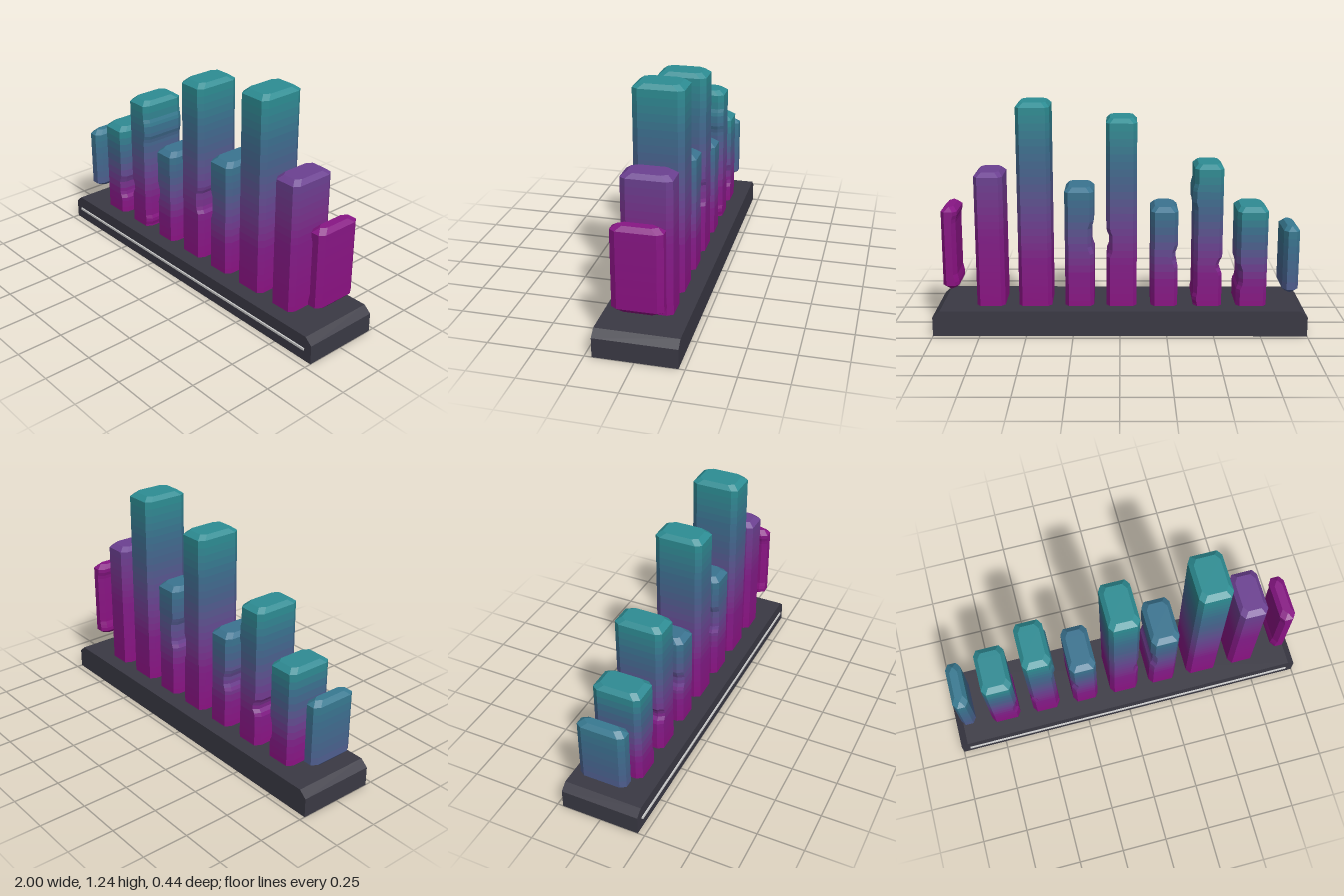
import * as THREE from 'three';

const DEPTH = 0.13; // half depth of every bar
const STOPS = [[0, 0x8c1082], [0.25, 0x821c88], [0.45, 0x6a4292], [0.67, 0x48628e], [0.8, 0x3c7090], [1, 0x2b9094]];

// Colour of the magenta-to-teal ramp at t
function ramp(t) {
  let i = 1;
  while (i < STOPS.length - 1 && t > STOPS[i][0]) i++;
  const [t0, c0] = STOPS[i - 1], [t1, c1] = STOPS[i];
  return new THREE.Color(c0).lerp(new THREE.Color(c1), THREE.MathUtils.clamp((t - t0) / (t1 - t0), 0, 1));
}

// Sideways offset of a worn patch: flat in the middle, sloped at both ends
function wear(y, patches) {
  let d = 0;
  for (const [y0, y1, depth] of patches) {
    const slope = Math.min(0.03, (y1 - y0) / 2);
    d += depth * THREE.MathUtils.clamp(Math.min(y - y0, y1 - y) / slope, 0, 1);
  }
  return d;
}

// Octagonal cross-section, shrunk by an inset at the chamfered ends
function ring(bar, y, inset) {
  const x0 = bar.x0 + wear(y, bar.left) + inset * 0.7;
  const x1 = bar.x1 - wear(y, bar.right) - inset * 0.7;
  const z = DEPTH - inset, cx = 0.02, cz = 0.03;
  return [
    [x1, -z + cz], [x1, z - cz], [x1 - cx, z], [x0 + cx, z],
    [x0, z - cz], [x0, -z + cz], [x0 + cx, -z], [x1 - cx, -z],
  ].map(([x, zz]) => new THREE.Vector3(x, y, zz));
}

// Wall through a stack of rings, with optional end caps
function loft(rings, capBottom, capTop) {
  const pts = [];
  for (let r = 0; r < rings.length - 1; r++) {
    const lo = rings[r], hi = rings[r + 1];
    for (let i = 0; i < 8; i++) {
      const j = (i + 1) % 8;
      pts.push(lo[i], hi[i], hi[j], lo[i], hi[j], lo[j]);
    }
  }
  const first = rings[0], last = rings[rings.length - 1];
  for (let i = 1; i < 7; i++) {
    if (capBottom) pts.push(first[0], first[i], first[i + 1]);
    if (capTop) pts.push(last[0], last[i + 1], last[i]);
  }
  const geo = new THREE.BufferGeometry().setFromPoints(pts);
  geo.computeVertexNormals();
  return geo;
}

// One bar, cut into bands that step through its colour range
function makeBar(bar) {
  const group = new THREE.Group();
  group.name = bar.name;
  const bevel = 0.023;
  const low = bar.floating ? bar.y0 + bevel : bar.y0, high = bar.y1 - bevel;
  const bands = Math.max(8, Math.round((high - low) / 0.04));
  for (let b = 0; b < bands; b++) {
    const rings = [];
    for (let k = 0; k <= 2; k++) rings.push(ring(bar, low + (high - low) * (b + k / 2) / bands, 0));
    const isFirst = b === 0, isLast = b === bands - 1;
    if (isFirst && bar.floating) rings.unshift(ring(bar, bar.y0, 0.03));
    if (isLast) rings.push(ring(bar, bar.y1, 0.03));
    const t = THREE.MathUtils.lerp(bar.t0, bar.t1, (b + 0.5) / bands);
    const material = new THREE.MeshStandardMaterial({ color: ramp(t), flatShading: true });
    const mesh = new THREE.Mesh(loft(rings, isFirst, isLast), material);
    mesh.name = 'barBand';
    group.add(mesh);
  }
  return group;
}

export function createModel() {
  const model = new THREE.Group();
  model.name = 'barSculpture';

  // Plinth with bevelled upper ends
  const outline = new THREE.Shape([
    [-1, 0], [1, 0], [1, 0.105], [0.96, 0.14], [-0.96, 0.14], [-1, 0.105],
  ].map(([x, y]) => new THREE.Vector2(x, y)));
  const baseGeo = new THREE.ExtrudeGeometry(outline, { depth: 0.43, bevelEnabled: false });
  baseGeo.translate(0, 0, -0.218);
  const base = new THREE.Mesh(baseGeo, new THREE.MeshStandardMaterial({ color: 0x3a3944, flatShading: true }));
  base.name = 'base';
  model.add(base);

  // Thin pale strip along the front
  const strip = new THREE.Mesh(new THREE.BoxGeometry(1.91, 0.012, 0.016),
    new THREE.MeshStandardMaterial({ color: 0xcccccc }));
  strip.position.set(0, 0.066, 0.212);
  strip.name = 'frontStrip';
  model.add(strip);

  // x range, y range, colour range, worn patches on the -x and +x faces
  const bars = [
    [-0.96, -0.875, 0.21, 0.577, 0.62, 0.87, [], []],
    [-0.79, -0.625, 0.13, 0.682, 0, 1, [], [[0.23, 0.37, 0.014]]],
    [-0.548, -0.395, 0.13, 0.913, 0, 1, [[0.32, 0.41, 0.018]], [[0.68, 0.81, -0.009], [0.15, 0.21, -0.008]]],
    [-0.31, -0.165, 0.13, 0.682, 0, 0.85, [[0.36, 0.47, 0.013]], []],
    [-0.09, 0.073, 0.13, 1.155, 0, 1, [], [[0.41, 0.56, 0.014]]],
    [0.14, 0.295, 0.13, 0.788, 0, 0.85, [[0.43, 0.6, 0.013]], []],
    [0.367, 0.545, 0.13, 1.237, 0, 1, [], []],
    [0.62, 0.773, 0.13, 0.87, 0, 0.45, [], []],
    [0.866, 0.952, 0.23, 0.682, 0, 0.12, [[0.28, 0.64, 0.009]], []],
  ];
  const group = new THREE.Group();
  group.name = 'bars';
  group.position.z = -0.003;
  bars.forEach(([x0, x1, y0, y1, t0, t1, left, right], i) => {
    group.add(makeBar({ name: `bar${i + 1}`, x0, x1, y0, y1, t0, t1, left, right, floating: y0 > 0.14 }));
  });
  model.add(group);
  return model;
}
